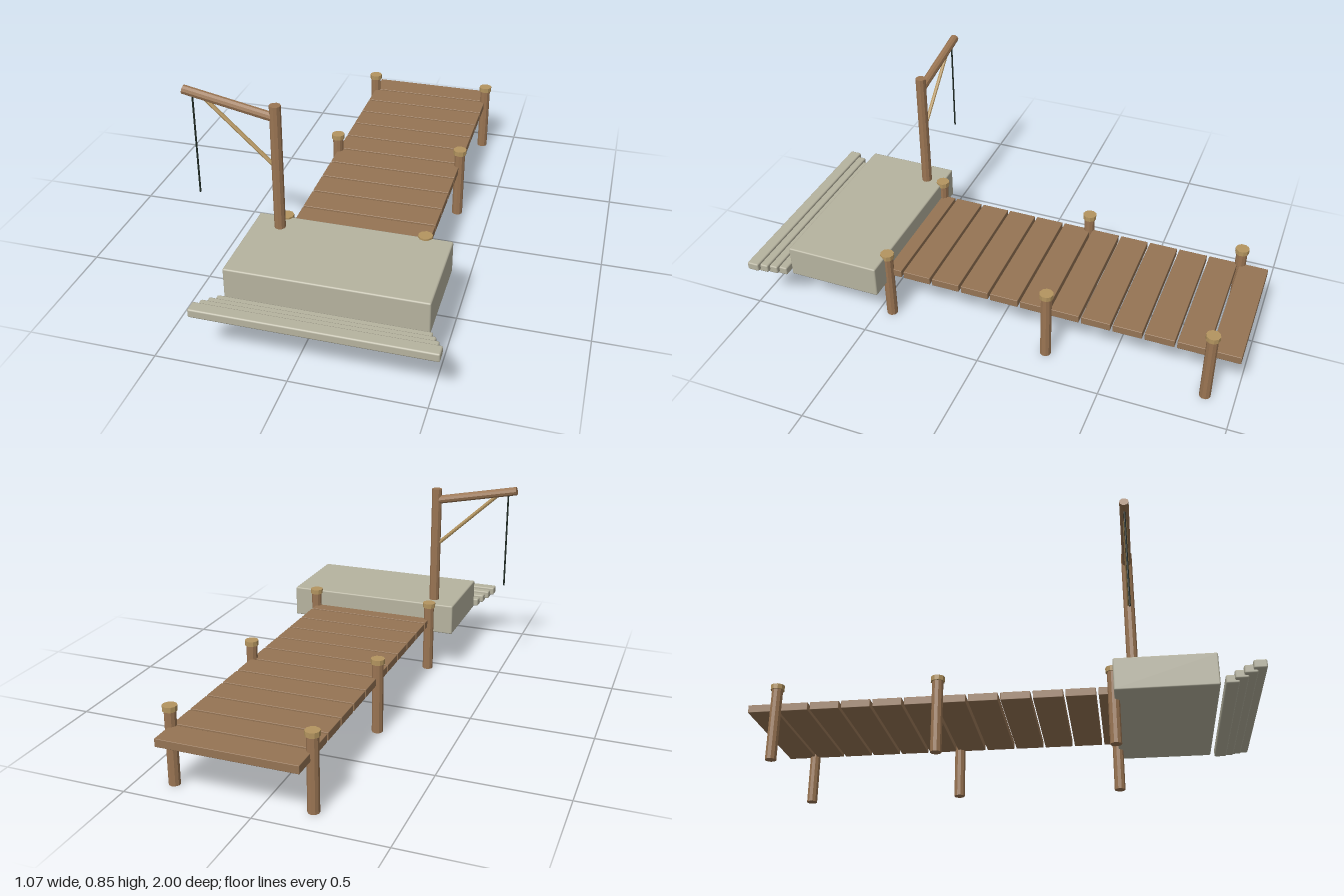
import * as THREE from 'three';
import { RoundedBoxGeometry } from 'three/addons/geometries/RoundedBoxGeometry.js';

function mat(name, color) {
  const m = new THREE.MeshStandardMaterial({ color });
  m.name = name;
  return m;
}

export function createModel() {
  const model = new THREE.Group();
  model.name = 'dock';
  const plankWood = mat('plank wood', 0x957454);
  const postWood = mat('post wood', 0x9a7553);
  const paleWood = mat('pale wood', 0xb3945f);
  const stone = mat('stone', 0xb6b39f);
  const rope = mat('dark rope', 0x1f2a24);

  const add = (name, geometry, material, x = 0, y = 0, z = 0) => {
    const mesh = new THREE.Mesh(geometry, material);
    mesh.name = name;
    mesh.position.set(x, y, z);
    model.add(mesh);
    return mesh;
  };

  // Box given by its centre line and its y and z limits, with a small chamfer
  const slab = (name, material, width, y0, y1, z0, z1, bevel) =>
    add(name, new RoundedBoxGeometry(width, y1 - y0, z1 - z0, 1, bevel), material,
      0.088, (y0 + y1) / 2, (z0 + z1) / 2);

  // Faceted round beam between two points
  const beam = (name, material, a, b, radius, sides = 10) => {
    const from = new THREE.Vector3(...a);
    const to = new THREE.Vector3(...b);
    const dir = to.clone().sub(from);
    const geo = new THREE.CylinderGeometry(radius, radius, dir.length(), sides).toNonIndexed();
    geo.computeVertexNormals();
    const mesh = add(name, geo, material);
    mesh.position.copy(from).add(to).multiplyScalar(0.5);
    mesh.quaternion.setFromUnitVectors(new THREE.Vector3(0, 1, 0), dir.normalize());
    return mesh;
  };

  // Deck planks; the last one runs into the stone landing
  for (let i = 0; i < 12; i++) {
    const z = -1 + i * 0.126;
    slab('plank', plankWood, 0.542, 0.203, 0.235, z, z + 0.116, 0.002);
  }

  // Piles with pale caps
  for (const x of [-0.183, 0.359]) {
    for (const z of [-0.886, -0.238, 0.443]) {
      beam('pile', postWood, [x, 0, z], [x, 0.3, z], 0.0225);
      beam('pileCap', paleWood, [x, 0.292, z], [x, 0.312, z], 0.028);
    }
  }

  // Stone landing
  slab('landing', stone, 0.755, 0.173, 0.305, 0.445, 0.835, 0.006);

  // Stacked lip of four narrowing steps
  for (let i = 0; i < 4; i++) {
    const y = 0.202 - i * 0.0105;
    const z = 1 - i * 0.0325;
    slab('step', stone, 0.89 - i * 0.035, y, y + 0.034, z - 0.05, z, 0.006);
  }

  // Crane: mast, sloping arm, brace and hanging rope
  const cz = 0.52;
  beam('craneMast', postWood, [-0.183, 0.29, cz], [-0.183, 0.813, cz], 0.0215);
  beam('craneArm', postWood, [-0.183, 0.763, cz], [-0.533, 0.832, cz], 0.0178);
  beam('craneBrace', paleWood, [-0.183, 0.556, cz], [-0.455, 0.81, cz], 0.008, 8);
  beam('rope', rope, [-0.498, 0.408, cz], [-0.498, 0.82, cz], 0.0037, 8);

  return model;
}
